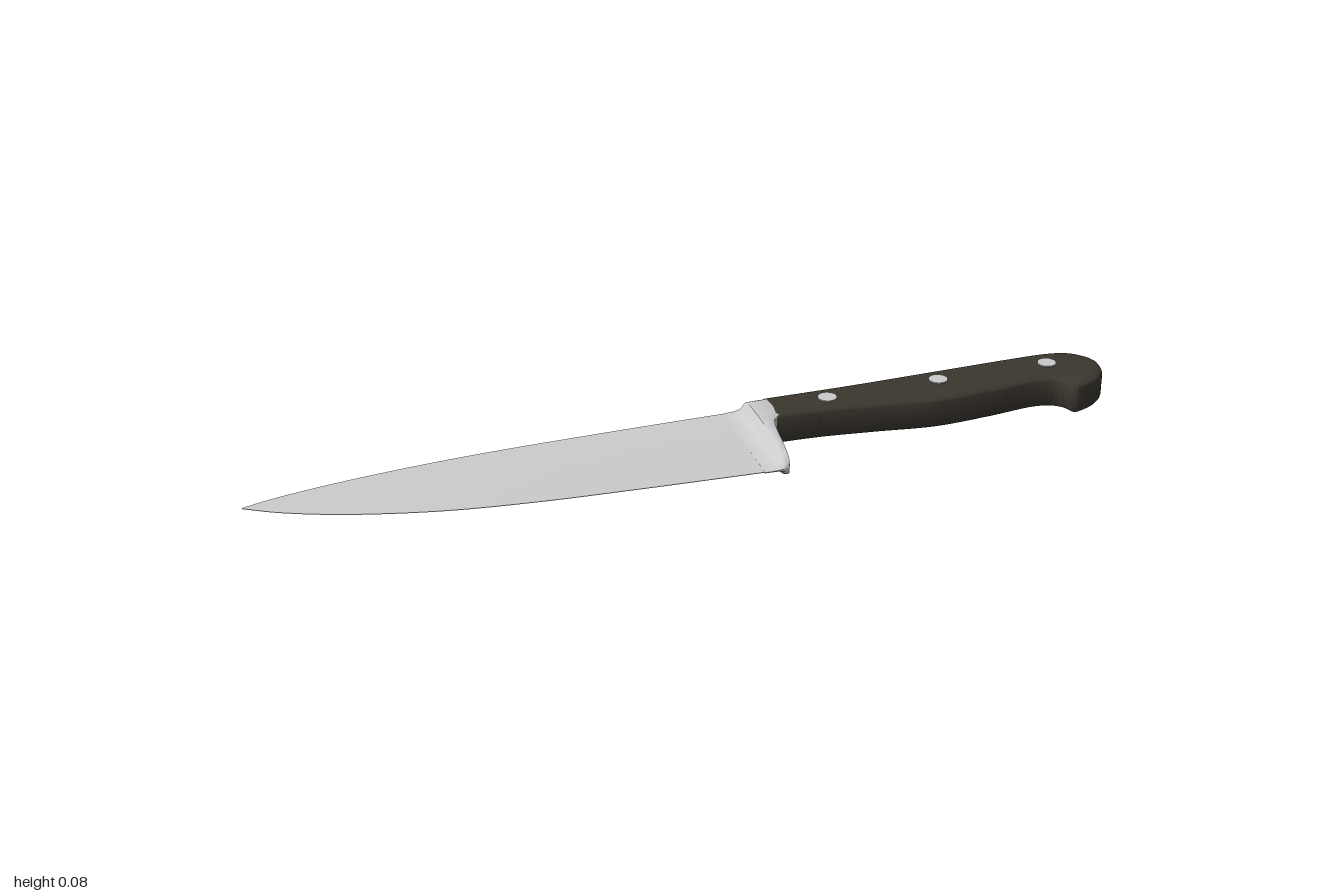
import * as THREE from 'three';
import { toCreasedNormals } from 'three/addons/utils/BufferGeometryUtils.js';

const MID = 0.0395; // height of the knife's centre plane

// Skin a list of closed rings (counter-clockwise about the loft direction) and cap both ends
function loft(rings, crease) {
  const n = rings[0].length, last = rings.length - 1;
  const points = rings.flat(), index = [];
  for (let i = 0; i < last; i++) {
    for (let j = 0; j < n; j++) {
      const k = (j + 1) % n;
      const a = i * n + j, b = i * n + k, c = b + n, d = a + n;
      index.push(a, b, c, a, c, d);
    }
  }
  for (const end of [0, last]) {
    const centre = new THREE.Vector3();
    rings[end].forEach(p => centre.addScaledVector(p, 1 / n));
    const m = points.push(centre) - 1;
    for (let j = 0; j < n; j++) {
      const a = end * n + j, b = end * n + (j + 1) % n;
      if (end) index.push(m, a, b); else index.push(m, b, a);
    }
  }
  const geometry = new THREE.BufferGeometry().setFromPoints(points);
  geometry.setIndex(index);
  return toCreasedNormals(geometry, crease);
}

// Wedge blade: columns are x, spine z, edge z
function bladeGeometry() {
  const outline = new THREE.CatmullRomCurve3([
    [-1, -0.046, -0.044], [-0.93, -0.065, -0.004], [-0.8, -0.088, 0.047], [-0.6, -0.111, 0.096],
    [-0.4, -0.123, 0.12], [-0.2, -0.128, 0.132], [0, -0.131, 0.141], [0.15, -0.132, 0.147],
  ].map(p => new THREE.Vector3(...p)));
  const rings = outline.getPoints(42).map(({ x, y: spine, z: edge }) => {
    const s = 0.001 + 0.008 * Math.pow(Math.max(0, (x + 1) / 1.15), 0.7), e = 0.0006;
    return [[-s, spine], [s, spine], [e, edge], [-e, edge]]
      .map(([y, z]) => new THREE.Vector3(x, y, z));
  });
  return loft(rings, 0.5);
}

// Flared bolster: columns are z, back x, half thickness
function bolsterGeometry() {
  const rows = [
    [-0.133, 0.2, 0.024], [-0.13, 0.2, 0.031], [-0.122, 0.2, 0.035], [-0.1, 0.2, 0.037],
    [-0.05, 0.2, 0.037], [-0.038, 0.198, 0.037], [-0.031, 0.19, 0.037], [-0.02, 0.181, 0.037],
    [0, 0.175, 0.036], [0.04, 0.17, 0.034], [0.08, 0.166, 0.031], [0.11, 0.163, 0.027],
    [0.13, 0.161, 0.021], [0.141, 0.159, 0.014], [0.148, 0.156, 0.004],
  ];
  const rings = rows.map(([z, back, t]) => {
    const root = Math.min(0.008 * (0.16 - z) / 0.29 + 0.0005, t);
    const half = [[0.1, 0], [0.12, 0.07], [0.134, 0.22], [0.142, 0.5], [0.147, 0.85], [0.151, 0.97]]
      .map(([x, k]) => [x, root + (t - root) * k]);
    half.push([back - 0.004, t], [back, t * 0.95]);
    const lower = half.map(([x, y]) => new THREE.Vector3(x, -y, z));
    const upper = half.map(([x, y]) => new THREE.Vector3(x, y, z)).reverse();
    return [...lower, ...upper];
  });
  return loft(rings, 0.7);
}

// Handle outline drawn in x and z, extruded through the thickness with rounded edges
function handleGeometry() {
  const v = list => list.map(p => new THREE.Vector2(...p));
  const shape = new THREE.Shape();
  shape.moveTo(0.192, -0.132);
  shape.splineThru(v([
    [0.4, -0.134], [0.6, -0.141], [0.8, -0.148], [0.9, -0.148], [0.955, -0.134], [0.99, -0.1],
    [1, -0.065], [0.988, -0.02], [0.955, 0.015], [0.905, 0.037], [0.888, 0.029],
    [0.876, 0.002], [0.85, -0.014], [0.805, -0.018], [0.7, -0.005], [0.565, 0.003],
    [0.43, -0.014], [0.3, -0.029], [0.192, -0.033],
  ]));
  shape.closePath();
  const r = 0.014;
  const geometry = new THREE.ExtrudeGeometry(shape, {
    depth: 0.074 - 2 * r, bevelSize: r, bevelThickness: r, bevelOffset: -r,
    bevelSegments: 4, curveSegments: 72,
  });
  geometry.translate(0, 0, r - 0.037);
  geometry.rotateX(Math.PI / 2);
  return toCreasedNormals(geometry, 0.7);
}

export function createModel() {
  const steel = new THREE.MeshStandardMaterial({ color: 0xcccccc });
  const dark = new THREE.MeshStandardMaterial({ color: 0x3b372f });
  const knife = new THREE.Group();
  knife.name = 'chefKnife';

  const add = (name, geometry, material, x = 0, z = 0) => {
    const mesh = new THREE.Mesh(geometry, material);
    mesh.name = name;
    mesh.position.set(x, MID, z);
    knife.add(mesh);
  };

  add('blade', bladeGeometry(), steel);
  add('bolster', bolsterGeometry(), steel);
  add('handle', handleGeometry(), dark);

  // Rivets run through the handle and show on both faces
  const rivet = new THREE.CylinderGeometry(0.022, 0.022, 2 * MID, 32);
  [[0.33, -0.083], [0.605, -0.09], [0.88, -0.092]]
    .forEach(([x, z], i) => add(`rivet${i + 1}`, rivet, steel, x, z));

  return knife;
}
